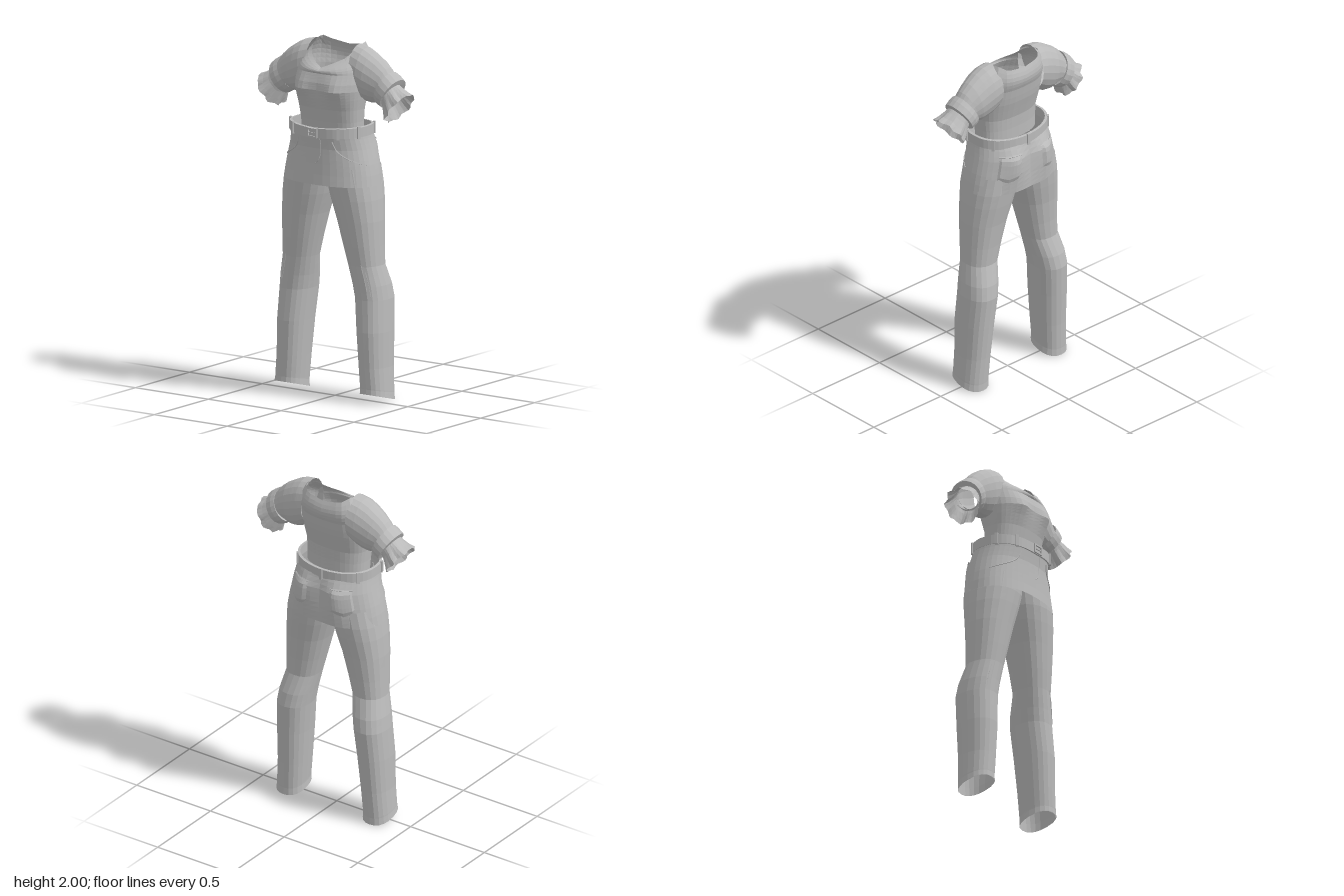
import * as THREE from 'three';

const cloth = new THREE.MeshStandardMaterial({ color: 0xbababa, flatShading: true, side: THREE.DoubleSide });
cloth.name = 'grey cloth';
const MID = -0.008; // trousers sit slightly off centre

// Grid surface from a function fn(u, v) -> [x, y, z]
function surface(fn, nu, nv) {
  const pos = [], idx = [];
  for (let j = 0; j <= nv; j++)
    for (let i = 0; i <= nu; i++) pos.push(...fn(i / nu, j / nv));
  for (let j = 0; j < nv; j++)
    for (let i = 0; i < nu; i++) {
      const a = j * (nu + 1) + i, b = a + 1, c = a + nu + 1, d = c + 1;
      idx.push(a, b, d, a, d, c);
    }
  const g = new THREE.BufferGeometry();
  g.setAttribute('position', new THREE.Float32BufferAttribute(pos, 3));
  g.setIndex(idx);
  g.computeVertexNormals();
  return g;
}

// Interpolate a table of rows, either by fraction or by first column
const lerp = THREE.MathUtils.lerp;
function sample(rows, f) {
  const k = f * (rows.length - 1), i = Math.min(rows.length - 2, Math.floor(k));
  return rows[i].map((a, n) => lerp(a, rows[i + 1][n], k - i));
}
function sampleY(rows, y) {
  let i = 0;
  while (i < rows.length - 2 && rows[i + 1][0] < y) i++;
  const f = (y - rows[i][0]) / (rows[i + 1][0] - rows[i][0]);
  return rows[i].map((a, n) => lerp(a, rows[i + 1][n], f));
}

// Rounded cross-section, t = 0 at the front, turning toward +x
const pow = (a, e) => Math.sign(a) * Math.abs(a) ** e;
function ring(t, rx, zf, zb, e = 0.85) {
  return [rx * pow(Math.sin(t), e), (zf + zb) / 2 + (zf - zb) / 2 * pow(Math.cos(t), e)];
}
const bump = (x, c, w) => Math.exp(-(((x - c) / w) ** 2));

// Trouser seat: y, half width, front z, back z, buttock bulge
const HIP = [
  [1.22, 0.297, 0.192, -0.18, 0.008], [1.28, 0.288, 0.186, -0.18, 0.015],
  [1.34, 0.276, 0.182, -0.178, 0.024], [1.42, 0.256, 0.178, -0.175, 0.028],
  [1.47, 0.244, 0.184, -0.165, 0.012], [1.51, 0.237, 0.19, -0.155, 0]];
function hipPoint(t, y, off = 0) {
  const [, rx, zf, zb, k] = sampleY(HIP, y);
  const [x, z] = ring(t, rx + off, zf + off, zb - off);
  const back = Math.max(0, -Math.cos(t));
  return [x + MID, y, z - k * Math.min(1, back * 2) * bump(Math.abs(x), 0.11, 0.07)];
}

// Leg: y, inner x, outer x, front z, back z
const LEG = [
  [0.028, 0.21, 0.375, 0.092, -0.108], [0.07, 0.208, 0.374, 0.094, -0.112],
  [0.2, 0.198, 0.365, 0.096, -0.12], [0.4, 0.182, 0.362, 0.1, -0.136],
  [0.58, 0.164, 0.354, 0.09, -0.15], [0.66, 0.15, 0.344, 0.093, -0.138],
  [0.77, 0.128, 0.32, 0.1, -0.103], [0.88, 0.1, 0.317, 0.115, -0.11],
  [1.02, 0.063, 0.314, 0.132, -0.125], [1.14, 0.025, 0.305, 0.148, -0.145],
  [1.22, 0.004, 0.294, 0.156, -0.156], [1.32, -0.01, 0.272, 0.155, -0.16]];
function legPoint(s, t, y, off = 0) {
  const [, xi, xo, zf, zb] = sampleY(LEG, y);
  const [x, z] = ring(t, (xo - xi) / 2 + off, zf + off, zb - off);
  const tilt = 0.27 * Math.max(0, 1 - (y - 0.028) / 0.15); // slanted hem
  return [MID + s * (xi + xo) / 2 + x, y + tilt * z, z];
}

// Shirt body: y, half width, front z, back z, bust bulge
const BODY = [
  [1.5, 0.188, 0.125, -0.088, 0], [1.57, 0.19, 0.135, -0.088, 0], [1.64, 0.196, 0.15, -0.092, 0],
  [1.7, 0.206, 0.165, -0.108, 0.01], [1.75, 0.213, 0.175, -0.122, 0.026],
  [1.79, 0.214, 0.17, -0.13, 0.016], [1.84, 0.21, 0.153, -0.138, 0.004]];
// Neckline, front to back
const NECK = [[0, 1.87, 0.13], [0.055, 1.893, 0.108], [0.115, 1.925, 0.06], [0.14, 1.96, 0.02],
  [0.152, 1.992, -0.04], [0.148, 2, -0.085], [0.11, 1.975, -0.126], [0, 1.96, -0.134]];
function bodyPoint(u, v) {
  const t = u * 2 * Math.PI, w = Math.min(1, v / 0.75);
  const [y, rx, zf, zb, k] = sample(BODY, w);
  let [x, z] = ring(t, rx, zf, zb, 0.8);
  z += k * Math.max(0, Math.cos(t)) ** 0.5 * bump(Math.abs(x), 0.12, 0.06);
  if (v <= 0.75) return [x, y, z];
  const f = (v - 0.75) / 0.25, n = sample(NECK, 1 - Math.abs(1 - 2 * u));
  const side = u > 0.5 ? -1 : 1, out = 0.018 * Math.sin(f * Math.PI);
  return [lerp(x, n[0] * side, f) + out * Math.sin(t), lerp(y, n[1], f), lerp(z, n[2], f) + out * Math.cos(t)];
}

// Sleeve sections: top x, top y, bottom x, bottom y, front z, back z
const SLEEVE = [
  [0.148, 1.997, 0.15, 1.73, 0.08, -0.134], [0.205, 1.985, 0.19, 1.7, 0.088, -0.128],
  [0.255, 1.962, 0.222, 1.685, 0.085, -0.12], [0.31, 1.927, 0.255, 1.68, 0.074, -0.112],
  [0.355, 1.887, 0.282, 1.685, 0.063, -0.1], [0.385, 1.845, 0.305, 1.698, 0.06, -0.095],
  [0.41, 1.82, 0.33, 1.69, 0.065, -0.098]];
const CUFF = [
  [0.385, 1.835, 0.308, 1.705, 0.06, -0.095], [0.378, 1.867, 0.285, 1.692, 0.075, -0.118],
  [0.402, 1.852, 0.305, 1.675, 0.08, -0.122], [0.43, 1.828, 0.332, 1.662, 0.08, -0.12],
  [0.418, 1.8, 0.345, 1.69, 0.062, -0.092]];
const FRILL = [
  [0.405, 1.805, 0.335, 1.695, 0.062, -0.088], [0.435, 1.785, 0.352, 1.66, 0.07, -0.092],
  [0.468, 1.765, 0.368, 1.62, 0.085, -0.102], [0.5, 1.752, 0.38, 1.59, 0.098, -0.11]];
function armPoint(rows, s, u, v, ruffle = 0) {
  const [tx, ty, bx, by, zf, zb] = sample(rows, v), t = u * 2 * Math.PI * s;
  const r = 1 + ruffle * v * Math.cos(u * 18 * Math.PI), q = -Math.sin(t) * r / 2;
  const push = ruffle * 0.12 * v * Math.sin(u * 14 * Math.PI);
  return [s * ((tx + bx) / 2 + (tx - bx) * q + push), (ty + by) / 2 + (ty - by) * q,
    (zf + zb) / 2 + (zf - zb) / 2 * Math.cos(t) * r];
}

export function createModel() {
  const model = new THREE.Group();
  model.name = 'outfit';
  const add = (name, geo) => {
    const m = new THREE.Mesh(geo, cloth);
    m.name = name;
    model.add(m);
    return m;
  };
  const seam = (name, pts, r = 0.003) =>
    add(name, new THREE.TubeGeometry(new THREE.CatmullRomCurve3(pts.map(p => new THREE.Vector3(...p))), 10, r, 4));
  const TAU = 2 * Math.PI;

  // Shirt
  add('shirtBody', surface(bodyPoint, 36, 24));
  for (const s of [1, -1]) {
    const side = s > 0 ? 'left' : 'right';
    add(side + 'Sleeve', surface((u, v) => armPoint(SLEEVE, s, u, v), 20, 12));
    add(side + 'Cuff', surface((u, v) => armPoint(CUFF, s, u, v), 20, 4));
    add(side + 'SleeveFrill', surface((u, v) => armPoint(FRILL, s, u, v, 0.06), 36, 3));

    // Trouser leg with hem and knee creases
    add(side + 'Leg', surface((u, v) => legPoint(s, u * TAU, sample(LEG, v)[0]), 20, 22));
    add(side + 'Hem', surface((u, v) => legPoint(s, u * TAU, 0.028 + 0.035 * v, 0.004 * (1 - v)), 20, 2));
    for (const [a, y0, y1] of [[0.35, 0.64, 0.78], [0.55, 0.6, 0.74]])
      seam(side + 'KneeCrease', [0, 0.5, 1].map(f => legPoint(s, s * (a - 0.05 * f), lerp(y0, y1, f))), 0.002);

    // Curved front pocket opening
    seam(side + 'FrontPocket', [[0.42, 1.47], [0.5, 1.42], [0.75, 1.38], [1.05, 1.355], [1.3, 1.34]]
      .map(([a, y]) => hipPoint(s * a, y, 0.001)), 0.004);

    // Back pocket: thin raised patch with a pointed lower edge
    add(side + 'BackPocket', surface((u, v) => {
      const edge = u === 0 || u === 1 || v === 0 || v === 1;
      const low = 1.315 - 0.025 * (1 - Math.abs(2 * u - 1));
      return hipPoint(Math.PI + s * lerp(-0.24, -0.8, s > 0 ? 1 - u : u), lerp(low, 1.455, v), edge ? -0.001 : 0.008);
    }, 8, 6));
    seam(side + 'BackPocketTop', [0.24, 0.52, 0.8].map(a => hipPoint(Math.PI - s * a, 1.45, 0.006)), 0.004);
  }

  // Trouser seat and its fly
  add('trouserSeat', surface((u, v) => hipPoint(u * TAU, lerp(1.22, 1.51, v)), 40, 10));
  seam('fly', [[0.12, 1.49], [0.12, 1.42], [0.07, 1.36], [0, 1.335]].map(([a, y]) => hipPoint(a, y)), 0.002);

  // Belt: closed band profile as [outward offset, y]
  const BAND = [[-0.004, 1.49], [0.01, 1.488], [0.01, 1.543], [-0.004, 1.545], [-0.004, 1.49]];
  const beltPoint = (t, off, y) => {
    const [x, z] = ring(t, 0.233 + off, 0.188 + off, -0.152 - off);
    return [x + MID, y + 0.012 * Math.abs(Math.sin(t)) - 0.004, z];
  };
  add('belt', surface((u, v) => beltPoint(u * TAU, ...sample(BAND, v)), 40, 4));

  // Belt loops and buckle
  for (const a of [0.62, 1.25, 2.2, Math.PI, -2.2, -1.25, -0.62]) {
    const loop = add('beltLoop', new THREE.BoxGeometry(0.018, 0.068, 0.012));
    loop.position.set(...beltPoint(a, 0.012, 1.516));
    loop.rotation.y = a;
  }
  const frame = new THREE.Shape([[-0.034, -0.026], [0.034, -0.026], [0.034, 0.026], [-0.034, 0.026]]
    .map(p => new THREE.Vector2(...p)));
  frame.holes.push(new THREE.Path([[-0.024, -0.017], [-0.024, 0.017], [0.024, 0.017], [0.024, -0.017]]
    .map(p => new THREE.Vector2(...p))));
  add('buckle', new THREE.ExtrudeGeometry(frame, { depth: 0.012, bevelEnabled: false }))
    .position.set(MID, 1.513, 0.194);
  add('bucklePin', new THREE.BoxGeometry(0.05, 0.007, 0.006)).position.set(MID, 1.513, 0.202);
  return model;
}
